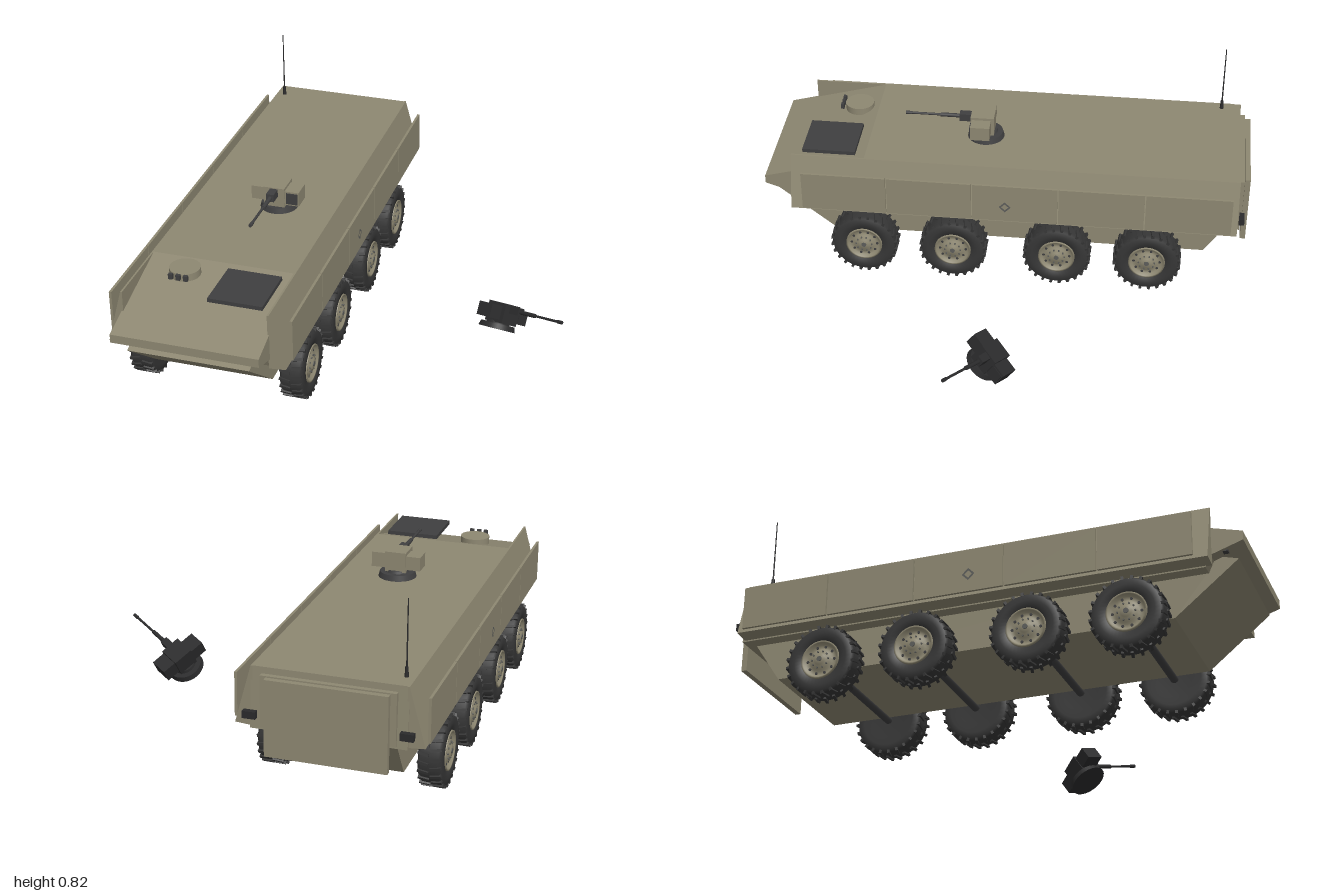
import * as THREE from 'three';
import { mergeGeometries } from 'three/addons/utils/BufferGeometryUtils.js';

const mat = (name, color) => {
  const m = new THREE.MeshStandardMaterial({ color });
  m.name = name;
  return m;
};

export function createModel() {
  const paint = mat('olivePaint', 0x8e8872);
  const rubber = mat('tyreRubber', 0x363636);
  const dark = mat('darkMetal', 0x3f3f40);
  const gunMetal = mat('gunMetal', 0x2b2b2c);
  const mark = mat('markGrey', 0x5c5d5a);

  const model = new THREE.Group();
  const vehicle = new THREE.Group();
  vehicle.name = 'vehicle';
  vehicle.position.x = -0.435;
  model.add(vehicle);

  const add = (parent, name, geo, material, x = 0, y = 0, z = 0) => {
    const m = new THREE.Mesh(geo, material);
    m.name = name;
    m.position.set(x, y, z);
    parent.add(m);
    return m;
  };
  const box = (w, h, d) => new THREE.BoxGeometry(w, h, d);
  const cyl = (r1, r2, h, n = 24) => new THREE.CylinderGeometry(r1, r2, h, n);
  const extrude = (pts, depth) => new THREE.ExtrudeGeometry(
    new THREE.Shape(pts.map(p => new THREE.Vector2(p[0], p[1]))), { depth, bevelEnabled: false });
  // Side profile given as [z, y], centred across x
  const profile = (pts, width) => extrude(pts, width).translate(0, 0, -width / 2).rotateY(-Math.PI / 2);

  // Hull with sloped nose, and narrower belly
  add(vehicle, 'upperHull', profile([[1, 0.42], [1, 0.385], [0.88, 0.345], [0.86, 0.3], [-0.968, 0.3],
    [-0.955, 0.535], [0.58, 0.535]], 0.58), paint);
  add(vehicle, 'lowerHull', profile([[0.97, 0.34], [0.73, 0.145], [-0.83, 0.145], [-0.94, 0.31], [0.9, 0.36]], 0.48), paint);
  add(vehicle, 'rearRamp', box(0.455, 0.295, 0.022), paint, 0, 0.358, -0.989);
  add(vehicle, 'rampFrame', box(0.5, 0.2, 0.02), paint, 0, 0.41, -0.966);

  // Sponsons, skirt panels, lamps and side marks
  for (const s of [-1, 1]) {
    add(vehicle, 'sponson', extrude([[s * 0.29, 0.535], [s * 0.351, 0.31], [s * 0.285, 0.305], [s * 0.283, 0.535]], 1.842),
      paint, 0, 0, -0.958);
    for (let i = 0; i < 5; i++) {
      add(vehicle, 'skirtPanel', box(0.01, 0.17, 0.349), paint, s * 0.357, 0.406, 0.658 - i * 0.354);
    }
    const diamond = add(vehicle, 'sideMark', new THREE.RingGeometry(0.015, 0.025, 4), mark, s * 0.3632, 0.39, -0.01);
    diamond.rotation.y = s * Math.PI / 2;
    add(vehicle, 'tailLamp', box(0.05, 0.028, 0.022), gunMetal, s * 0.29, 0.355, -0.975);
    add(vehicle, 'headLamp', box(0.024, 0.016, 0.02), dark, s * 0.265, 0.366, 0.93);
  }

  // Wheels: outward direction is local +y
  const tyreGeo = new THREE.LatheGeometry([[0, -0.043], [0.07, -0.043], [0.105, -0.047], [0.127, -0.044],
    [0.134, -0.034], [0.134, 0.034], [0.127, 0.044], [0.105, 0.047], [0.078, 0.043], [0.072, 0.028], [0, 0.028]]
    .map(p => new THREE.Vector2(p[0], p[1])), 40);
  const lugs = [];
  for (let i = 0; i < 48; i++) {
    const side = i % 2 ? 1 : -1;
    lugs.push(box(0.014, 0.042, 0.0105).rotateX(side * 0.2)
      .translate(0.1335, side * 0.0235, 0).rotateY(i / 48 * Math.PI * 2));
  }
  const treadGeo = mergeGeometries(lugs);
  const rimGeo = new THREE.LatheGeometry([[0.076, 0.025], [0.076, 0.046], [0.069, 0.046], [0.062, 0.034], [0.046, 0.034],
    [0.04, 0.042], [0.026, 0.042], [0.022, 0.05], [0, 0.05]]
    .reverse().map(p => new THREE.Vector2(p[0], p[1])), 32);
  rimGeo.index.array.reverse();
  rimGeo.computeVertexNormals();
  const ringOf = (n, r, y, make) => mergeGeometries(Array.from({ length: n }, (_, i) =>
    make().translate(r, y, 0).rotateY((i + 0.5) / n * Math.PI * 2)));
  const boltGeo = ringOf(10, 0.033, 0.044, () => cyl(0.0035, 0.0035, 0.006, 6));
  const holeGeo = ringOf(10, 0.054, 0.034, () => cyl(0.0055, 0.0055, 0.004, 10));
  const capGeo = cyl(0.01, 0.01, 0.004, 16);

  for (const z of [0.585, 0.21, -0.225, -0.6]) {
    for (const s of [-1, 1]) {
      const wheel = new THREE.Group();
      wheel.name = 'wheel';
      wheel.position.set(s * 0.307, 0.144, z);
      wheel.rotation.z = -s * Math.PI / 2;
      add(wheel, 'tyre', tyreGeo, rubber);
      add(wheel, 'tread', treadGeo, rubber);
      add(wheel, 'rim', rimGeo, paint);
      add(wheel, 'bolts', boltGeo, mark);
      add(wheel, 'rimHoles', holeGeo, dark);
      add(wheel, 'hubCap', capGeo, mark, 0, 0.051, 0);
      vehicle.add(wheel);
    }
    add(vehicle, 'axle', cyl(0.016, 0.016, 0.55, 16).rotateZ(Math.PI / 2), dark, 0, 0.144, z);
  }

  // Roof fittings
  add(vehicle, 'engineGrille', box(0.215, 0.016, 0.22), dark, 0.145, 0.533, 0.733);
  add(vehicle, 'driverHatch', cyl(0.06, 0.06, 0.03, 32), paint, -0.12, 0.531, 0.665);
  for (let i = -1; i <= 1; i++) {
    add(vehicle, 'periscope', box(0.017, 0.022, 0.013), dark, -0.12 + i * 0.03, 0.54, 0.735);
  }
  add(vehicle, 'antennaBase', cyl(0.006, 0.008, 0.04, 12), gunMetal, -0.255, 0.552, -0.875);
  add(vehicle, 'antenna', cyl(0.002, 0.003, 0.26, 8), gunMetal, -0.255, 0.695, -0.875);

  // Remote weapon station, gun along +z
  const weaponStation = (name, shell, trim) => {
    const g = new THREE.Group();
    g.name = name;
    add(g, 'turretRing', cyl(0.07, 0.076, 0.022, 32), trim, 0, 0.011, 0);
    add(g, 'pedestal', cyl(0.045, 0.05, 0.012, 24), trim, 0, 0.026, 0);
    add(g, 'gunHousing', box(0.085, 0.082, 0.097), shell, 0, 0.067, 0.012);
    add(g, 'ammoBox', box(0.06, 0.056, 0.075), shell, -0.071, 0.067, 0.005);
    add(g, 'sightBox', box(0.06, 0.06, 0.08), shell, 0.071, 0.067, 0.016);
    add(g, 'sightGlass', box(0.047, 0.047, 0.006), trim, 0.073, 0.067, 0.057);
    add(g, 'gunMantlet', box(0.032, 0.032, 0.055), trim, 0, 0.088, 0.082);
    [['gunSleeve', 0.0085, 0.09, 0.145], ['gunBarrel', 0.005, 0.15, 0.255], ['muzzle', 0.007, 0.025, 0.323]]
      .forEach(([n, r, len, z]) => add(g, n, cyl(r, r, len, 14).rotateX(Math.PI / 2), trim, 0, 0.088, z));
    model.add(g);
    return g;
  };
  weaponStation('weaponStation', paint, dark).position.set(-0.375, 0.537, 0.1);

  // Detached station lying tilted beside the vehicle
  const loose = weaponStation('looseWeaponStation', gunMetal, gunMetal);
  const zAxis = new THREE.Vector3(0.827, 0.25, 0.5).normalize();
  const xAxis = new THREE.Vector3(0.1, 0.82, -0.55).cross(zAxis).normalize();
  const yAxis = zAxis.clone().cross(xAxis);
  loose.quaternion.setFromRotationMatrix(new THREE.Matrix4().makeBasis(xAxis, yAxis, zAxis));
  loose.position.set(0.514, 0.052, 0.012);

  return model;
}
